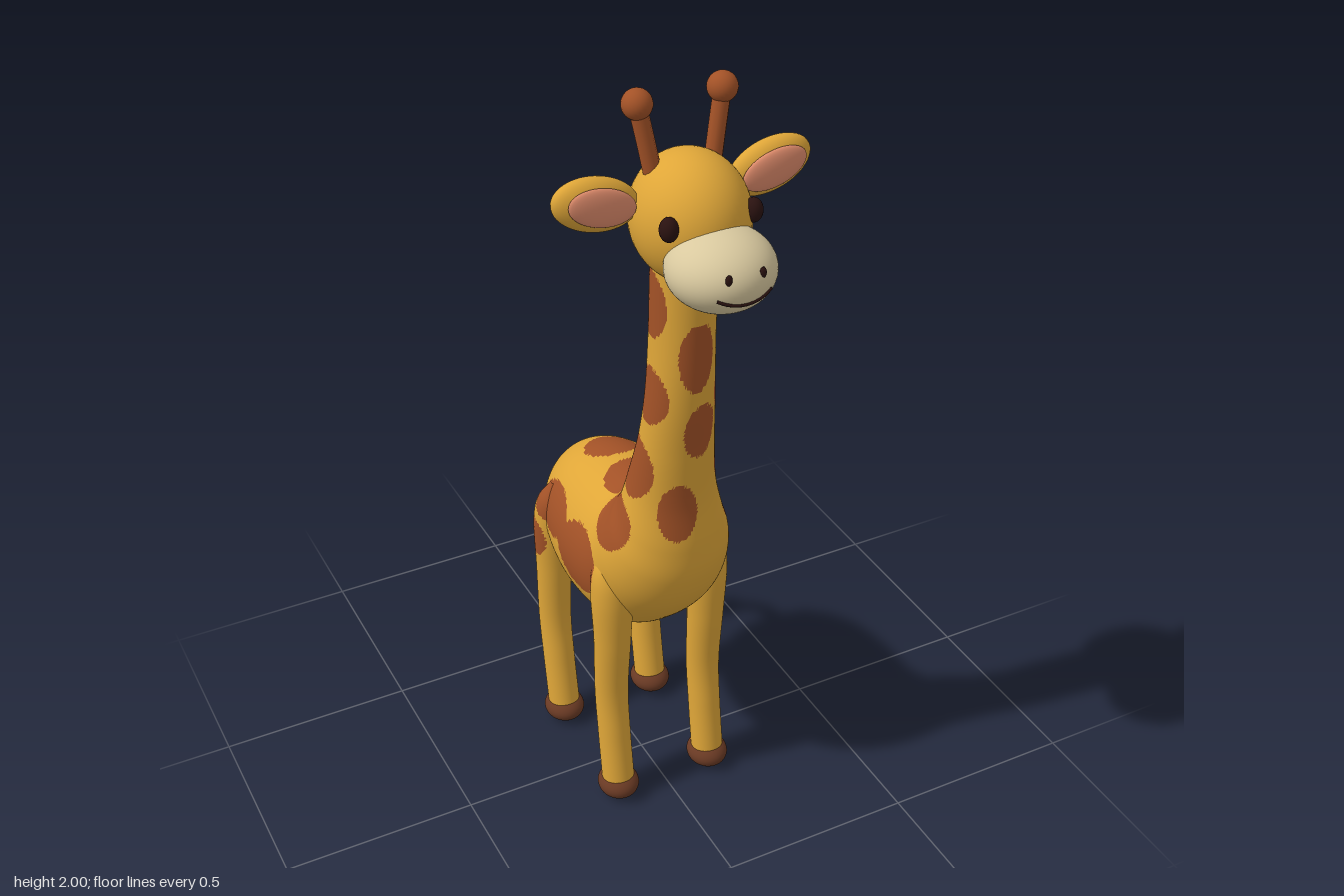
import * as THREE from 'three';

const mat = (name, color, side = THREE.FrontSide) => {
  const m = new THREE.MeshStandardMaterial({ color, side });
  m.name = name;
  return m;
};

// Coat patches: [x, y, z, rx, ry, rz, mirrored]
const PATCHES = [
  // flanks
  [0.17, 0.70, -0.005, 0.15, 0.09, 0.095, true],
  [0.17, 0.74, -0.165, 0.15, 0.065, 0.09, true],
  [0.17, 0.61, -0.26, 0.12, 0.063, 0.053, true],
  // shoulders and neck sides
  [0.15, 0.88, 0.10, 0.10, 0.075, 0.09, true],
  [0.10, 1.055, 0.155, 0.09, 0.085, 0.066, true],
  [0.09, 1.265, 0.197, 0.08, 0.075, 0.058, true],
  [0.08, 1.50, 0.187, 0.075, 0.088, 0.06, true],
  // front of neck
  [0, 1.38, 0.28, 0.045, 0.09, 0.05],
  [0.02, 1.175, 0.27, 0.045, 0.077, 0.05],
  [-0.03, 0.95, 0.25, 0.05, 0.078, 0.05],
  // back of neck, saddle and rump
  [0, 1.57, 0.12, 0.06, 0.07, 0.06],
  [0, 1.29, 0.12, 0.05, 0.06, 0.05],
  [0, 0.89, -0.02, 0.10, 0.045, 0.075],
  [0.01, 0.87, -0.19, 0.07, 0.07, 0.065],
];
const inPatch = (x, y, z) => PATCHES.some(([px, py, pz, rx, ry, rz, mirrored]) => {
  const dx = ((mirrored ? Math.abs(x) : x) - px) / rx;
  return dx * dx + ((y - py) / ry) ** 2 + ((z - pz) / rz) ** 2 < 1;
});

// Smooth loft through elliptical sections [z1, y1, z2, y2, halfWidth];
// faces inside a coat patch go to the second material group
function loft(sections, cx, rings, sides) {
  const a = new THREE.CatmullRomCurve3(sections.map(s => new THREE.Vector3(s[4], s[1], s[0])), false, 'catmullrom');
  const b = new THREE.CatmullRomCurve3(sections.map(s => new THREE.Vector3(0, s[3], s[2])), false, 'catmullrom');
  const pos = [], plain = [], patched = [];
  for (let i = 0; i <= rings; i++) {
    const p = a.getPoint(i / rings), q = b.getPoint(i / rings);
    for (let j = 0; j < sides; j++) {
      const t = (j / sides) * Math.PI * 2, c = Math.cos(t);
      pos.push(cx + p.x * Math.sin(t), (p.y + q.y + (p.y - q.y) * c) / 2, (p.z + q.z + (p.z - q.z) * c) / 2);
    }
  }
  const addFace = (...f) => {
    const m = [0, 1, 2].map(k => (pos[f[0] * 3 + k] + pos[f[1] * 3 + k] + pos[f[2] * 3 + k]) / 3);
    (inPatch(...m) ? patched : plain).push(...f);
  };
  for (let i = 0; i < rings; i++) {
    for (let j = 0; j < sides; j++) {
      const k = (j + 1) % sides;
      const p = i * sides + j, q = i * sides + k, r = p + sides, s = q + sides;
      addFace(p, r, q);
      addFace(q, r, s);
    }
  }
  const g = new THREE.BufferGeometry();
  g.setAttribute('position', new THREE.Float32BufferAttribute(pos, 3));
  g.setIndex(plain.concat(patched));
  g.addGroup(0, plain.length, 0);
  g.addGroup(plain.length, patched.length, 1);
  g.computeVertexNormals();
  return g;
}

export function createModel() {
  const root = new THREE.Group();
  const yellow = mat('golden coat', 0xdfa638);
  const brown = mat('brown patches', 0xa35227);
  const cream = mat('cream muzzle', 0xd9c99f);
  const pink = mat('pink inner ear', 0xe08c6c);
  const hoofBrown = mat('dark brown hoof', 0x6a3a24);
  const dark = mat('dark eye', 0x2a1210);
  const coat = [yellow, brown];

  const add = (name, geometry, material) => {
    const m = new THREE.Mesh(geometry, material);
    m.name = name;
    root.add(m);
    return m;
  };
  const ellipsoid = (name, material, [x, y, z], [rx, ry, rz], detail = 32) => {
    const m = add(name, new THREE.SphereGeometry(1, detail, detail * 0.75), material);
    m.position.set(x, y, z);
    m.scale.set(rx, ry, rz);
    return m;
  };
  const tube = (name, material, points, radius) => add(name, new THREE.TubeGeometry(
    new THREE.CatmullRomCurve3(points.map(p => new THREE.Vector3(...p))), 24, radius, 10), material);

  // Body and neck in one sweep, from rump to head
  add('bodyAndNeck', loft([
    [-0.362, 0.70, -0.362, 0.70, 0],
    [-0.345, 0.775, -0.345, 0.62, 0.07],
    [-0.295, 0.83, -0.295, 0.55, 0.128],
    [-0.21, 0.868, -0.21, 0.495, 0.168],
    [-0.10, 0.885, -0.09, 0.467, 0.185],
    [-0.02, 0.888, 0.05, 0.483, 0.182],
    [0.01, 0.895, 0.15, 0.56, 0.172],
    [0.027, 0.908, 0.225, 0.65, 0.165],
    [0.04, 0.925, 0.26, 0.745, 0.152],
    [0.052, 0.955, 0.263, 0.84, 0.13],
    [0.068, 1.02, 0.251, 0.96, 0.108],
    [0.10, 1.13, 0.258, 1.10, 0.092],
    [0.117, 1.25, 0.271, 1.24, 0.082],
    [0.120, 1.40, 0.279, 1.40, 0.075],
    [0.126, 1.55, 0.283, 1.55, 0.075],
    [0.135, 1.65, 0.283, 1.65, 0.075],
  ], 0, 190, 120), coat);

  // Legs: [y, centre z, radius, x] from hip to ankle
  const legs = {
    front: [[0.78, 0.09, 0.012, 0.115], [0.72, 0.095, 0.045, 0.125], [0.64, 0.10, 0.053, 0.13], [0.50, 0.10, 0.047, 0.13],
      [0.33, 0.092, 0.043, 0.13], [0.20, 0.105, 0.042, 0.13], [0.05, 0.127, 0.042, 0.13]],
    back: [[0.78, -0.22, 0.012, 0.115], [0.72, -0.23, 0.045, 0.125], [0.64, -0.24, 0.053, 0.13], [0.50, -0.248, 0.047, 0.13],
      [0.33, -0.252, 0.043, 0.13], [0.20, -0.235, 0.042, 0.13], [0.05, -0.208, 0.042, 0.13]],
  };
  for (const side of [-1, 1]) {
    const label = side > 0 ? 'Left' : 'Right';
    for (const [end, rows] of Object.entries(legs)) {
      add(end + 'Leg' + label, loft(rows.map(([y, z, r]) => [z + r, y, z - r, y, r]), side * 0.132, 70, 40), coat);
      ellipsoid(end + 'Hoof' + label, hoofBrown, [side * 0.132, 0.038, rows[6][1]], [0.053, 0.038, 0.058]);
    }

    // Ear with pink lining
    const ear = ellipsoid('ear' + label, yellow, [side * 0.208, 1.772, 0.198], [0.103, 0.062, 0.037]);
    const lining = ellipsoid('innerEar' + label, pink, [side * 0.205, 1.776, 0.228], [0.08, 0.044, 0.014]);
    ear.rotation.z = lining.rotation.z = side * 0.26;

    // Horn and its knob
    tube('horn' + label, brown, [[side * 0.07, 1.80, 0.195], [side * 0.084, 1.88, 0.187], [side * 0.1, 1.965, 0.178]], 0.02);
    ellipsoid('hornKnob' + label, brown, [side * 0.1, 1.966, 0.177], [0.034, 0.034, 0.034], 24);

    ellipsoid('eye' + label, dark, [side * 0.1, 1.745, 0.322], [0.021, 0.028, 0.022], 20);
  }

  // Head and muzzle
  ellipsoid('head', yellow, [0, 1.712, 0.227], [0.131, 0.148, 0.146], 48);
  const mc = [0, 1.654, 0.365], mr = [0.121, 0.09, 0.12];
  ellipsoid('muzzle', cream, mc, mr, 48);
  const onMuzzle = (x, y) => [x, y, mc[2] + mr[2] * Math.sqrt(1 - (x / mr[0]) ** 2 - ((y - mc[1]) / mr[1]) ** 2)];

  // Nostrils and smile lie on the muzzle surface
  for (const side of [-1, 1]) ellipsoid('nostril', dark, onMuzzle(side * 0.04, 1.684), [0.008, 0.013, 0.006], 12);
  const smile = [];
  for (let i = -4; i <= 4; i++) smile.push(onMuzzle(i * 0.016, 1.623 + 0.016 * (i / 4) ** 2));
  tube('smile', dark, smile, 0.004);

  // Tail with tuft
  tube('tail', yellow, [[0, 0.71, -0.33], [0.015, 0.695, -0.375], [0.035, 0.64, -0.415], [0.052, 0.55, -0.443]], 0.017);
  ellipsoid('tailTuft', brown, [0.053, 0.522, -0.447], [0.034, 0.057, 0.035], 24);

  return root;
}
